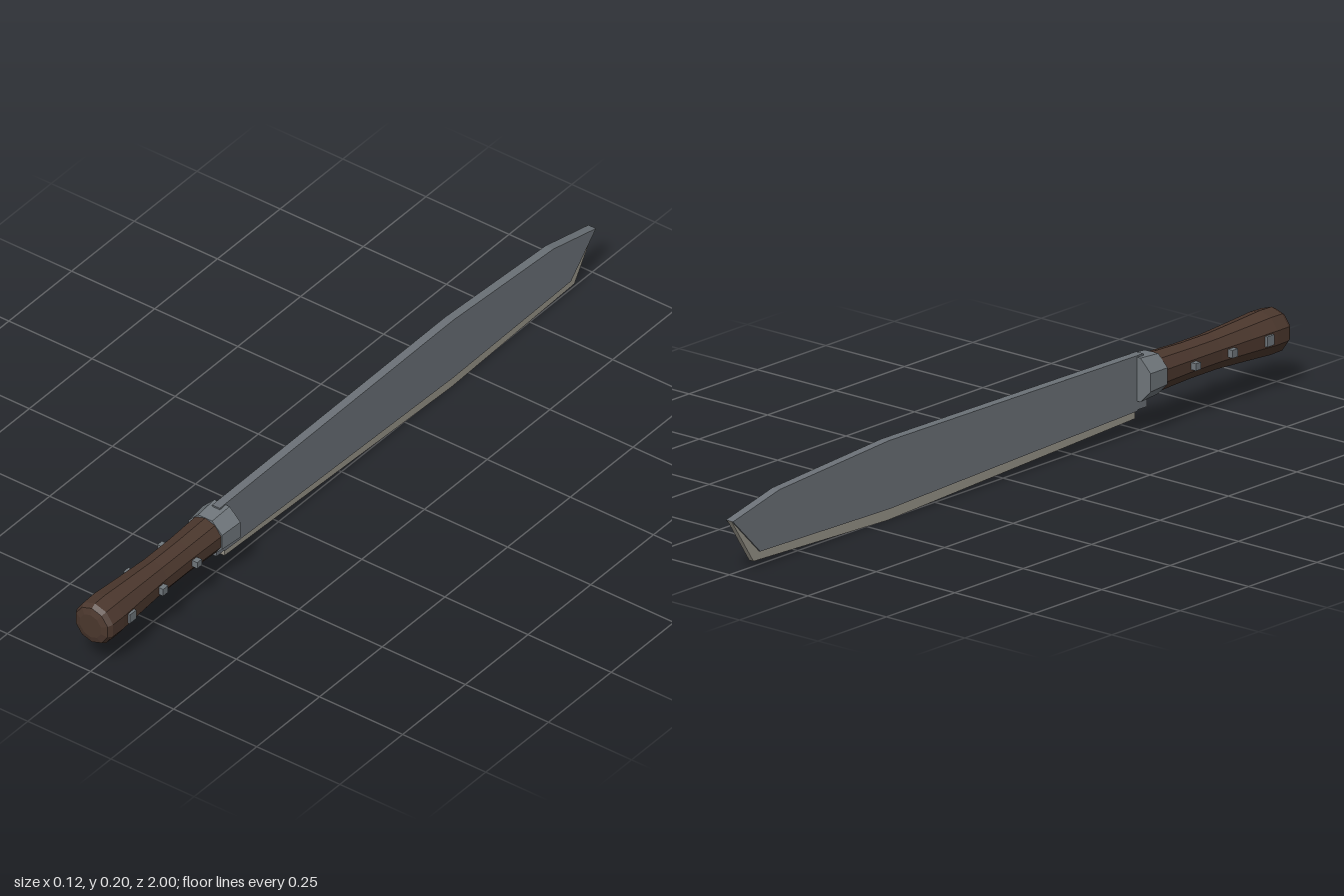
import * as THREE from 'three';

const AXIS_Y = 0.136; // height of the handle's centre line

export function createModel() {
  const model = new THREE.Group();
  const mat = (name, color) => {
    const m = new THREE.MeshStandardMaterial({ color, flatShading: true });
    m.name = name;
    return m;
  };
  const steel = mat('blade steel', 0x6b7177);
  const edgeSteel = mat('sharpened edge', 0x979388);
  const fittings = mat('grey fittings', 0x70777c);
  const wood = mat('dark wood', 0x4b372d);

  const add = (name, geometry, material) => {
    const mesh = new THREE.Mesh(geometry, material);
    mesh.name = name;
    model.add(mesh);
    return mesh;
  };

  // Side outline of [z, y] points, extruded symmetrically across x
  const plate = (points, width) => {
    const shape = new THREE.Shape(points.map(([z, y]) => new THREE.Vector2(-z, y)));
    return new THREE.ExtrudeGeometry(shape, { depth: width, bevelEnabled: false })
      .translate(0, 0, -width / 2)
      .rotateY(Math.PI / 2);
  };

  // Faceted solid of revolution along z, from [radius, z] points
  const turned = (profile, sides, turn) =>
    new THREE.LatheGeometry(profile.map(([r, z]) => new THREE.Vector2(r, z)), sides)
      .rotateY(turn)
      .rotateX(Math.PI / 2)
      .translate(0, AXIS_Y, 0);

  // Blade body with a straight spine and clipped tip
  add('blade', plate([
    [0.5, 0.195], [0.48, 0.055], [-0.43, 0.029], [-0.9, 0.037],
    [-1, 0.136], [-0.83, 0.176], [-0.43, 0.202],
  ], 0.023), steel);

  // Thinner cutting edge running along the belly and up the tip
  add('cuttingEdge', plate([
    [0.475, 0.056], [0.475, 0.036], [-0.43, 0], [-0.92, 0.016],
    [-1, 0.136], [-0.9, 0.038], [-0.43, 0.03],
  ], 0.014), edgeSteel);

  // Heel of the blade below the collar
  add('heel', new THREE.BoxGeometry(0.023, 0.08, 0.036).translate(0, 0.098, 0.495), steel);

  // Eight-sided collar
  add('collar', turned([[0, 0.476], [0.06, 0.476], [0.055, 0.543], [0, 0.543]], 8, Math.PI / 8), fittings);

  // Ten-sided grip with a waist and a swollen butt
  add('grip', turned([
    [0, 0.53], [0.051, 0.53], [0.047, 0.65], [0.047, 0.75], [0.053, 0.86],
    [0.058, 0.94], [0.057, 0.982], [0.05, 0.995], [0.033, 1], [0, 1],
  ], 10, 0), wood);

  // Rivets through the grip
  [[0.645, 0.018], [0.78, 0.02], [0.91, 0.026]].forEach(([z, size]) => {
    add('rivet', new THREE.BoxGeometry(0.12, size, size).translate(0, AXIS_Y + 0.001, z), fittings);
  });

  return model;
}
